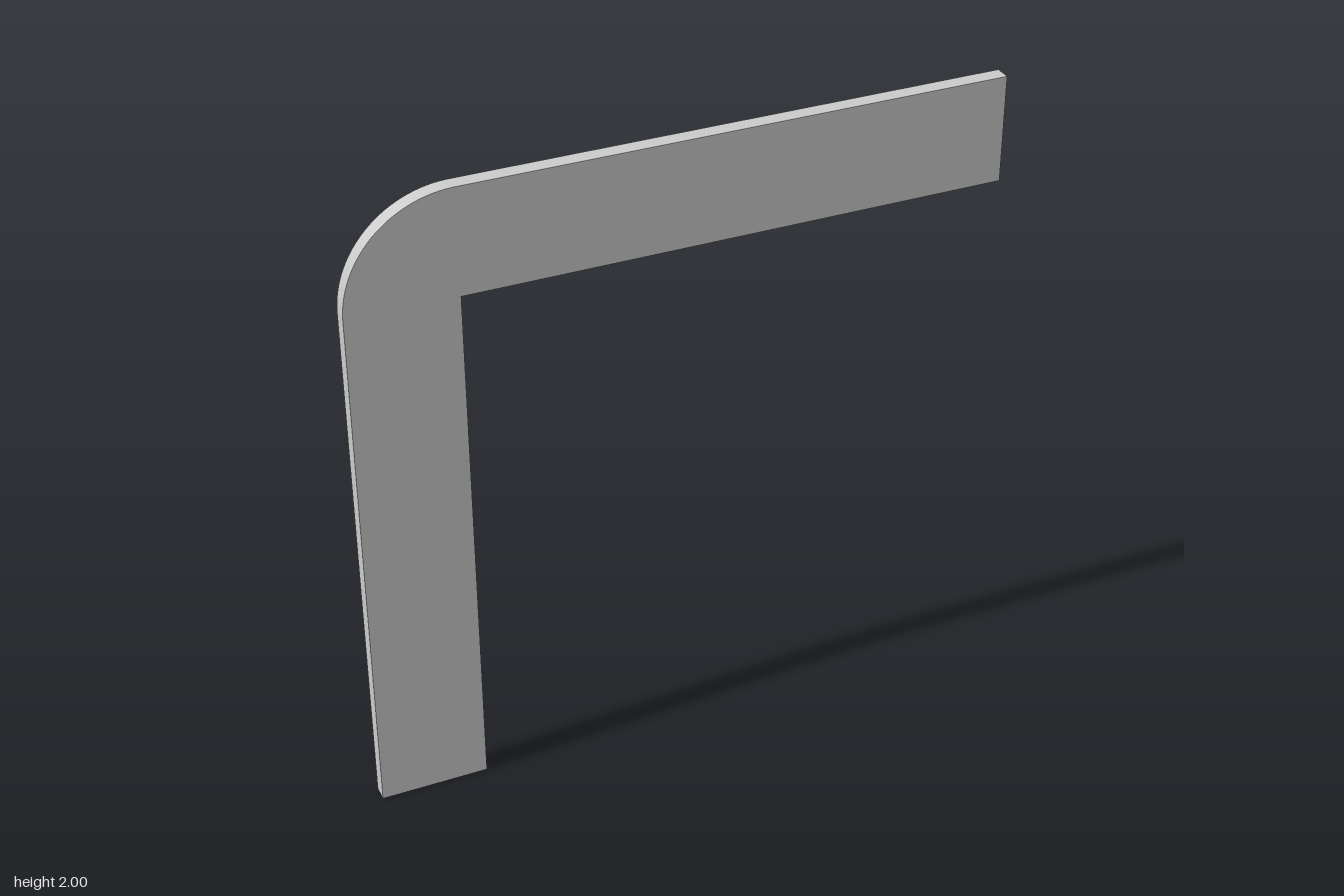
import * as THREE from 'three';
import { toCreasedNormals } from 'three/addons/utils/BufferGeometryUtils.js';

const WIDTH = 1 / 3;     // width of both arms, also the outer corner radius
const THICKNESS = 0.05;

export function createModel() {
  const group = new THREE.Group();
  group.name = 'cornerBracket';

  // Inner corner, the centre of the outer rounding
  const cx = -1 + WIDTH;
  const cy = 2 - WIDTH;

  // Outline: upright arm, rounded outer corner, horizontal arm, square inner corner
  const outline = new THREE.Shape();
  outline.moveTo(-1, 0);
  outline.lineTo(cx, 0);
  outline.lineTo(cx, cy);
  outline.lineTo(1, cy);
  outline.lineTo(1, 2);
  outline.lineTo(cx, 2);
  outline.absarc(cx, cy, WIDTH, Math.PI / 2, Math.PI, false);
  outline.closePath();

  // Flat plate, smooth around the rounding and sharp at the edges
  const plate = new THREE.ExtrudeGeometry(outline, {
    depth: THICKNESS, bevelEnabled: false, curveSegments: 32,
  });
  plate.translate(0, 0, -THICKNESS / 2);

  const bracket = new THREE.Mesh(
    toCreasedNormals(plate, Math.PI / 6),
    new THREE.MeshStandardMaterial({ color: 0xcccccc }),
  );
  bracket.name = 'bracketPlate';
  group.add(bracket);

  return group;
}
